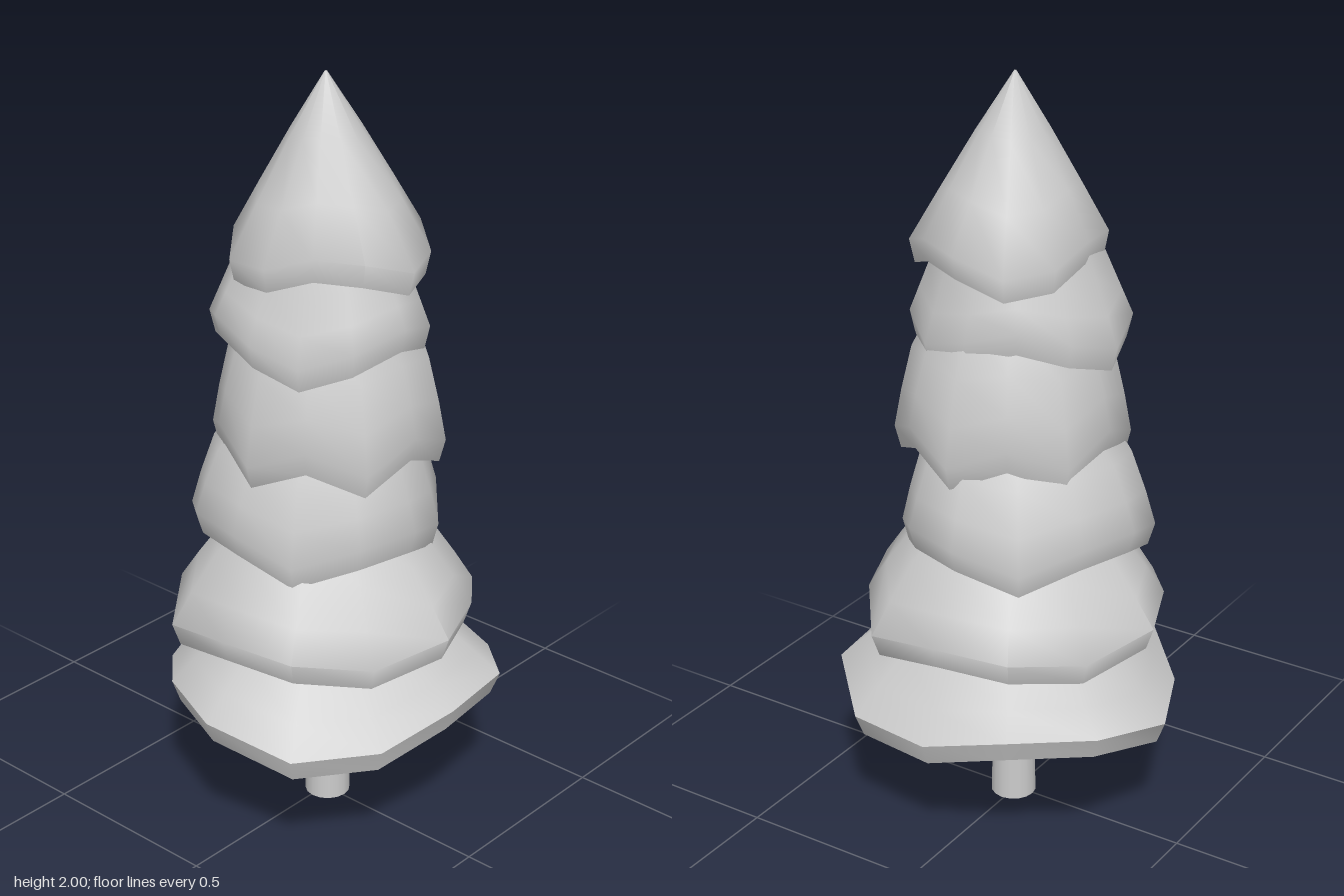
import * as THREE from 'three';
import { toCreasedNormals } from 'three/addons/utils/BufferGeometryUtils.js';

const SIDES = 12;

// Tiers from the tip down. neck is the top ring's share of the radius, curve
// below 1 bulges and above 1 flares, sway shifts the skirt in x and z.
// lobes and scallops are waves of [count, phase in degrees, size].
const TIERS = [
  { top: 2, hem: 1.525, radius: 0.245, neck: 0.01, curve: 0.95, sway: [0, 0.02], lobes: [3, 90, 0.015], scallops: [3, 80, 0.03] },
  { top: 1.6, hem: 1.32, radius: 0.265, neck: 0.68, curve: 1, sway: [-0.025, 0], lobes: [2, 75, 0.015], scallops: [3, 30, 0.04] },
  { top: 1.41, hem: 1.04, radius: 0.293, neck: 0.65, curve: 0.55, sway: [0, 0.01], lobes: [6, 0, 0.007], scallops: [6, 0, 0.03] },
  { top: 1.13, hem: 0.795, radius: 0.325, neck: 0.62, curve: 0.6, sway: [0.005, -0.03], lobes: [3, 0, 0.01], scallops: [4, 60, 0.035] },
  { top: 0.86, hem: 0.54, radius: 0.4, neck: 0.5, curve: 0.82, sway: [0, 0], lobes: [6, 30, 0.014], scallops: [4, 30, 0.025] },
  { top: 0.6, hem: 0.32, radius: 0.443, neck: 0.5, curve: 0.95, sway: [0.01, 0], lobes: [3, 45, 0.024], scallops: [3, 15, 0.035] },
];

const wave = (angle, [count, phase, size]) =>
  size * Math.cos(count * (angle - THREE.MathUtils.degToRad(phase)));

// Skirt of foliage: outer rings, rounded lip, wavy hem and a hollow underside
function tierGeometry({ top, hem, radius, neck, curve, sway, lobes, scallops }) {
  const crown = hem + scallops[2] + 0.1;
  // Each ring is a share of the radius and a height that may follow the hem
  const rings = [0, 0.35, 0.7, 1].map((t) => [
    neck + (1 - neck) * t ** curve,
    (edge) => THREE.MathUtils.lerp(top, edge + 0.06, t),
  ]);
  rings.push(
    [0.95, (edge) => edge],
    [0.88, (edge) => edge + 0.05],
    [0.62, () => crown - 0.03],
    [0.08, () => crown],
  );

  const positions = [];
  for (const [share, height] of rings) {
    for (let j = 0; j < SIDES; j++) {
      const angle = (j / SIDES) * Math.PI * 2;
      const r = radius + wave(angle, lobes);
      positions.push(
        share * (r * Math.cos(angle) + sway[0]),
        height(hem - wave(angle, scallops)),
        share * (r * Math.sin(angle) + sway[1]),
      );
    }
  }

  const index = [];
  for (let i = 0; i < rings.length - 1; i++) {
    for (let j = 0; j < SIDES; j++) {
      const a = i * SIDES + j;
      const b = i * SIDES + ((j + 1) % SIDES);
      index.push(a, b, a + SIDES, b, b + SIDES, a + SIDES);
    }
  }

  const geometry = new THREE.BufferGeometry();
  geometry.setAttribute('position', new THREE.Float32BufferAttribute(positions, 3));
  geometry.setIndex(index);
  return toCreasedNormals(geometry, 1);
}

export function createModel() {
  const tree = new THREE.Group();
  tree.name = 'tree';
  const material = new THREE.MeshStandardMaterial({ color: 0xcccccc, side: THREE.DoubleSide });

  // Trunk
  const trunk = new THREE.Mesh(new THREE.CylinderGeometry(0.053, 0.06, 0.55, 16), material);
  trunk.name = 'trunk';
  trunk.position.set(0.004, 0.275, 0.006);
  tree.add(trunk);

  // Foliage
  TIERS.forEach((tier, i) => {
    const foliage = new THREE.Mesh(tierGeometry(tier), material);
    foliage.name = `foliageTier${i + 1}`;
    tree.add(foliage);
  });
  return tree;
}
